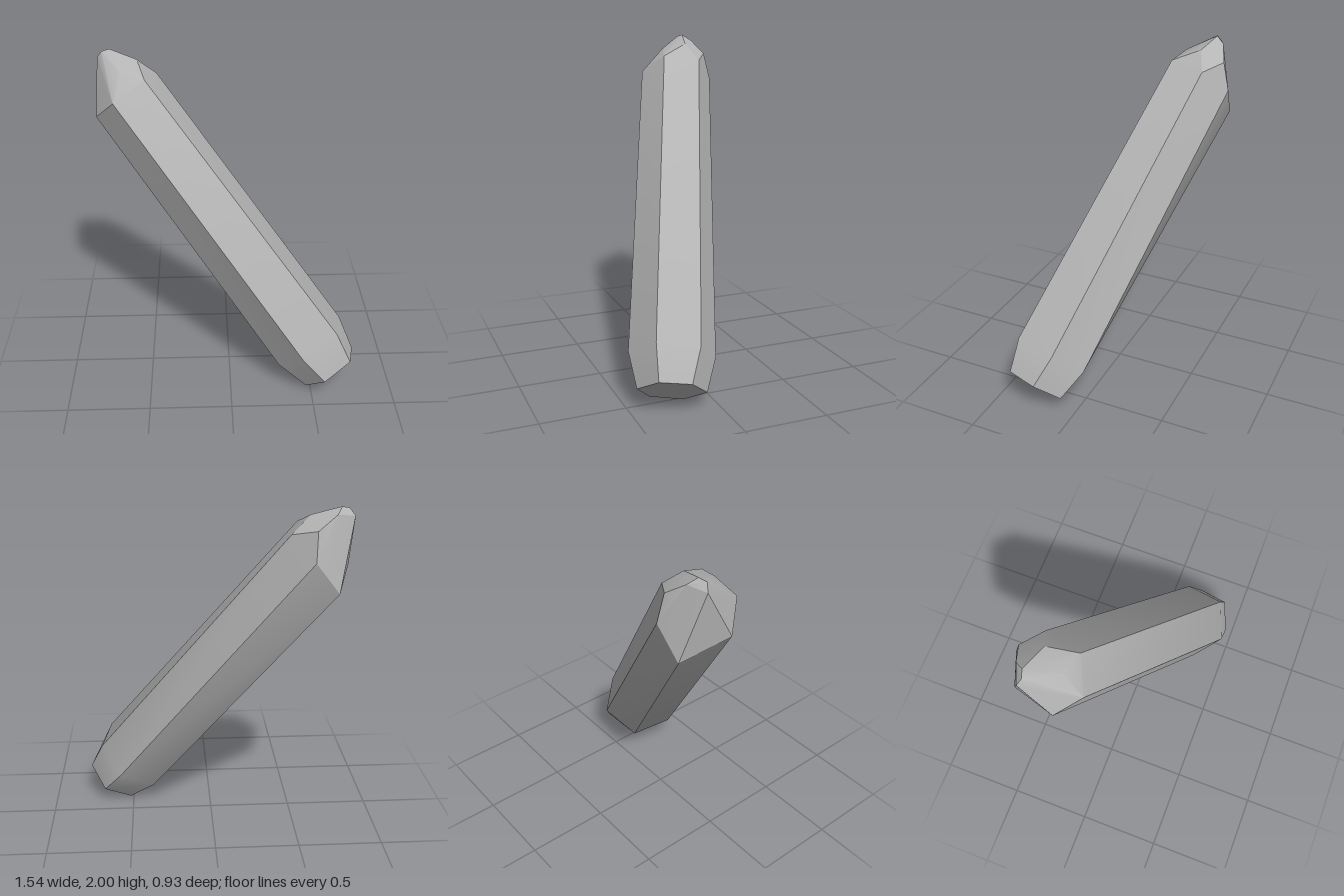
import * as THREE from 'three';
import { ConvexGeometry } from 'three/addons/geometries/ConvexGeometry.js';
import { toCreasedNormals } from 'three/addons/utils/BufferGeometryUtils.js';

// Six corners of each cross-section, going round the crystal
const baseCap = [
  [0.73, 0.235, 0.39], [0.77, 0.21, 0.21], [0.68, 0.10, 0.08],
  [0.52, 0, 0.16], [0.47, 0.03, 0.35], [0.57, 0.14, 0.46],
];
const lowerRing = [
  [0.64, 0.43, 0.37], [0.69, 0.39, 0.125], [0.57, 0.25, -0.02],
  [0.365, 0.13, 0.065], [0.30, 0.165, 0.31], [0.43, 0.31, 0.46],
];
const upperRing = [
  [-0.48, 1.88, -0.12], [-0.42, 1.85, -0.335], [-0.54, 1.72, -0.465],
  [-0.68, 1.54, -0.44], [-0.775, 1.64, -0.17], [-0.66, 1.77, -0.035],
];
// Uneven facets of the chipped tip
const tip = [
  [-0.53, 1.95, -0.285], [-0.69, 2.0, -0.33], [-0.55, 1.885, -0.425],
  [-0.66, 1.965, -0.38], [-0.735, 1.99, -0.315], [-0.765, 1.95, -0.335],
  [-0.62, 1.915, -0.16],
];

export function createModel() {
  const group = new THREE.Group();
  group.name = 'crystal';

  const stone = new THREE.MeshStandardMaterial({ color: 0xb4b4b4 });
  stone.name = 'grey stone';

  // One solid shard; shallow bevels shade smoothly, prism edges stay sharp
  const corners = [...baseCap, ...lowerRing, ...upperRing, ...tip]
    .map((p) => new THREE.Vector3(...p));
  const shard = new THREE.Mesh(toCreasedNormals(new ConvexGeometry(corners), 0.52), stone);
  shard.name = 'crystalShard';
  group.add(shard);
  return group;
}
